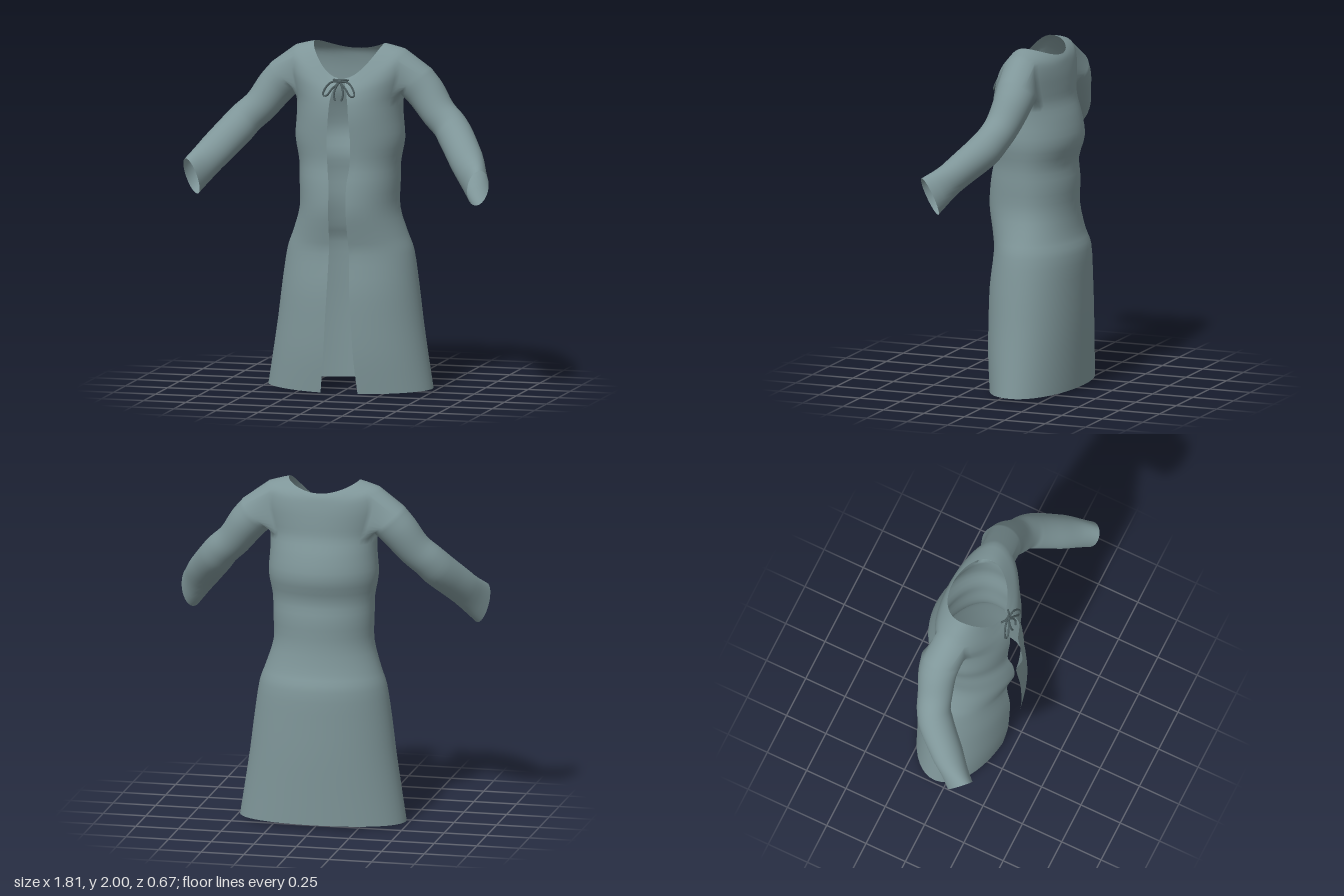
import * as THREE from 'three';

const V3 = (a) => new THREE.Vector3(...a);
const N = 48;              // columns around the body, from front edge to front edge
const STEP = 3;            // rows between two key sections
const COL = [8, 16];       // armhole columns on the left side
const ROW = [11 * STEP, 14 * STEP]; // armhole rows

// Body sections: halfWidth, frontZ, backZ, sideZ, frontY, sideY, backY, halfGap
const SECTIONS = [
  [.485, .19, -.325, -.07, 0, .01, .02, .11],
  [.455, .21, -.33, -.07, .2, .2, .2, .09],
  [.425, .215, -.335, -.07, .4, .4, .4, .078],
  [.40, .212, -.335, -.07, .6, .6, .6, .066],
  [.37, .19, -.33, -.07, .8, .8, .8, .06],
  [.335, .205, -.295, -.07, .9, .9, .9, .055],
  [.29, .235, -.27, -.06, 1.05, 1.05, 1.05, .052],
  [.292, .225, -.272, -.06, 1.2, 1.2, 1.2, .052],
  [.296, .203, -.262, -.06, 1.32, 1.32, 1.32, .066],
  [.318, .206, -.298, -.06, 1.45, 1.45, 1.45, .07],
  [.31, .212, -.275, -.06, 1.58, 1.58, 1.58, .061],
  [.312, .205, -.24, -.06, 1.67, 1.68, 1.68, .054],
  [.335, .19, -.232, -.06, 1.725, 1.76, 1.76, .045],
  [.36, .172, -.225, -.06, 1.76, 1.87, 1.83, .035],
  [.345, .155, -.215, -.06, 1.785, 1.955, 1.885, .027],
  [.27, .145, -.205, -.05, 1.80, 1.985, 1.92, .022],
  [.207, .135, -.19, -.04, 1.812, 2.0, 1.943, .02],
];

// Left sleeve sections: centre x, y, z, upper radius, side radius
const SLEEVE = [
  [.385, 1.785, -.07, .115, .118],
  [.45, 1.715, -.065, .11, .11],
  [.53, 1.61, -.04, .1, .1],
  [.6, 1.545, -.015, .1, .097],
  [.65, 1.485, .025, .103, .1],
  [.745, 1.37, .14, .1, .09],
  [.85, 1.235, .275, .1, .07],
];

// Smooth interpolation of a body section at a row
function sectionAt(row) {
  const last = SECTIONS.length - 1;
  const k = Math.min(Math.floor(row / STEP), last - 1), t = row / STEP - k;
  const at = (i) => SECTIONS[Math.max(0, Math.min(last, i))];
  return at(k).map((b, f) => {
    const a = at(k - 1)[f], c = at(k + 1)[f], d = at(k + 2)[f];
    return b + .5 * t * (c - a + t * (2 * a - 5 * b + 4 * c - d + t * (3 * (b - c) + d - a)));
  });
}

// Centre and the two half axes of the sleeve along its length
function sleeveCurves() {
  const c = SLEEVE.map((s) => V3(s.slice(0, 3))), up = [], side = [];
  c.forEach((p, i) => {
    const T = c[Math.min(i + 1, c.length - 1)].clone().sub(c[Math.max(i - 1, 0)]).normalize();
    const w = new THREE.Vector3(0, 0, 1).addScaledVector(T, -T.z).normalize();
    up.push(w.clone().cross(T).negate().multiplyScalar(-SLEEVE[i][3]));
    if (up[i].y < 0) up[i].negate();
    side.push(w.multiplyScalar(SLEEVE[i][4]));
  });
  // slanted cuff
  up[up.length - 1] = V3([.03, .105, .03]);
  side[side.length - 1] = V3([-.045, .02, .055]);
  return [c, up, side].map((pts) => new THREE.CatmullRomCurve3(pts));
}

// Body and sleeves share one set of points so the shoulders are seamless
function buildCloth() {
  const pos = [], body = [], sleeves = { 1: [], '-1': [] };
  const rows = (SECTIONS.length - 1) * STEP;
  const id = (r, i) => r * (N + 1) + i;
  const quad = (list, a, b, c, d) => list.push(a, b, c, a, c, d);

  for (let r = 0; r <= rows; r++) {
    const [w, zf, zb, zc, yf, ys, yb, gap] = sectionAt(r);
    const start = Math.asin(gap / w);
    for (let i = 0; i <= N; i++) {
      const q = start + (2 * Math.PI - 2 * start) * i / N;
      const s = Math.sin(q), c = Math.cos(q);
      pos.push(w * s, ys * s * s + (c > 0 ? yf : yb) * c * c, zc + c * (c > 0 ? zf - zc : zc - zb));
    }
  }
  for (let r = 0; r < rows; r++) {
    for (let i = 0; i < N; i++) {
      const m = Math.min(i, N - 1 - i);
      if (r >= ROW[0] && r < ROW[1] && m >= COL[0] && m < COL[1]) continue; // armhole
      quad(body, id(r, i), id(r, i + 1), id(r + 1, i + 1), id(r + 1, i));
    }
  }

  // Armhole loop: top middle, forward, down, back, up
  const loop = [], mid = (COL[0] + COL[1]) / 2;
  for (let i = mid; i > COL[0]; i--) loop.push([ROW[1], i]);
  for (let r = ROW[1]; r > ROW[0]; r--) loop.push([r, COL[0]]);
  for (let i = COL[0]; i < COL[1]; i++) loop.push([ROW[0], i]);
  for (let r = ROW[0]; r < ROW[1]; r++) loop.push([r, COL[1]]);
  for (let i = COL[1]; i > mid; i--) loop.push([ROW[1], i]);

  const [centre, up, side] = sleeveCurves(), n = loop.length, M = 24;
  for (const s of [1, -1]) {
    let prev = loop.map(([r, i]) => id(r, s > 0 ? i : N - i));
    for (let j = 0; j <= M; j++) {
      const c = centre.getPoint(j / M), u = up.getPoint(j / M), w = side.getPoint(j / M);
      const ring = loop.map((_, k) => {
        const a = 2 * Math.PI * k / n;
        const p = c.clone().addScaledVector(u, Math.cos(a)).addScaledVector(w, Math.sin(a));
        pos.push(s * p.x, p.y, p.z);
        return pos.length / 3 - 1;
      });
      for (let k = 0; k < n; k++) {
        const l = (k + 1) % n;
        if (s > 0) quad(sleeves[s], prev[k], prev[l], ring[l], ring[k]);
        else quad(sleeves[s], prev[l], prev[k], ring[k], ring[l]);
      }
      prev = ring;
    }
  }

  const whole = new THREE.BufferGeometry();
  whole.setAttribute('position', new THREE.Float32BufferAttribute(pos, 3));
  whole.setIndex([...body, ...sleeves[1], ...sleeves[-1]]);
  whole.computeVertexNormals();
  const part = (index) => {
    const g = new THREE.BufferGeometry();
    g.setAttribute('position', whole.attributes.position);
    g.setAttribute('normal', whole.attributes.normal);
    g.setIndex(index);
    return g;
  };
  return { body: part(body), left: part(sleeves[1]), right: part(sleeves[-1]) };
}

export function createModel() {
  const model = new THREE.Group();
  model.name = 'robe';
  const cloth = new THREE.MeshStandardMaterial({ color: 0x7f9699, side: THREE.DoubleSide });
  cloth.name = 'greyTealCloth';
  const cord = new THREE.MeshStandardMaterial({ color: 0x4c5c5f });
  cord.name = 'darkCord';
  const add = (parent, name, geometry, material) => {
    const mesh = new THREE.Mesh(geometry, material);
    mesh.name = name;
    parent.add(mesh);
    return mesh;
  };

  const g = buildCloth();
  add(model, 'robeBody', g.body, cloth);
  add(model, 'leftSleeve', g.left, cloth);
  add(model, 'rightSleeve', g.right, cloth);

  // Tied cord at the neck: loops, tails, bridge and knot
  const bow = new THREE.Group();
  bow.name = 'neckBow';
  model.add(bow);
  const tube = (name, pts) => add(bow, name,
    new THREE.TubeGeometry(new THREE.CatmullRomCurve3(pts.map(V3)), 24, .006, 6), cord);
  for (const s of [1, -1]) {
    const side = s > 0 ? 'left' : 'right';
    tube(side + 'BowLoop', [[0, 1.8, .165], [s * .05, 1.795, .172], [s * .085, 1.755, .185],
      [s * .092, 1.722, .195], [s * .072, 1.72, .198], [s * .04, 1.76, .188], [0, 1.798, .168]]);
    tube(side + 'BowTail', [[0, 1.8, .168], [s * .02, 1.765, .185], [s * .027, 1.725, .198], [s * .018, 1.692, .203]]);
  }
  tube('bowBridge', [[-.045, 1.805, .14], [-.02, 1.808, .16], [.02, 1.808, .16], [.045, 1.805, .14]]);
  const knot = add(bow, 'bowKnot', new THREE.SphereGeometry(.012, 12, 8), cord);
  knot.position.set(0, 1.8, .168);
  return model;
}
